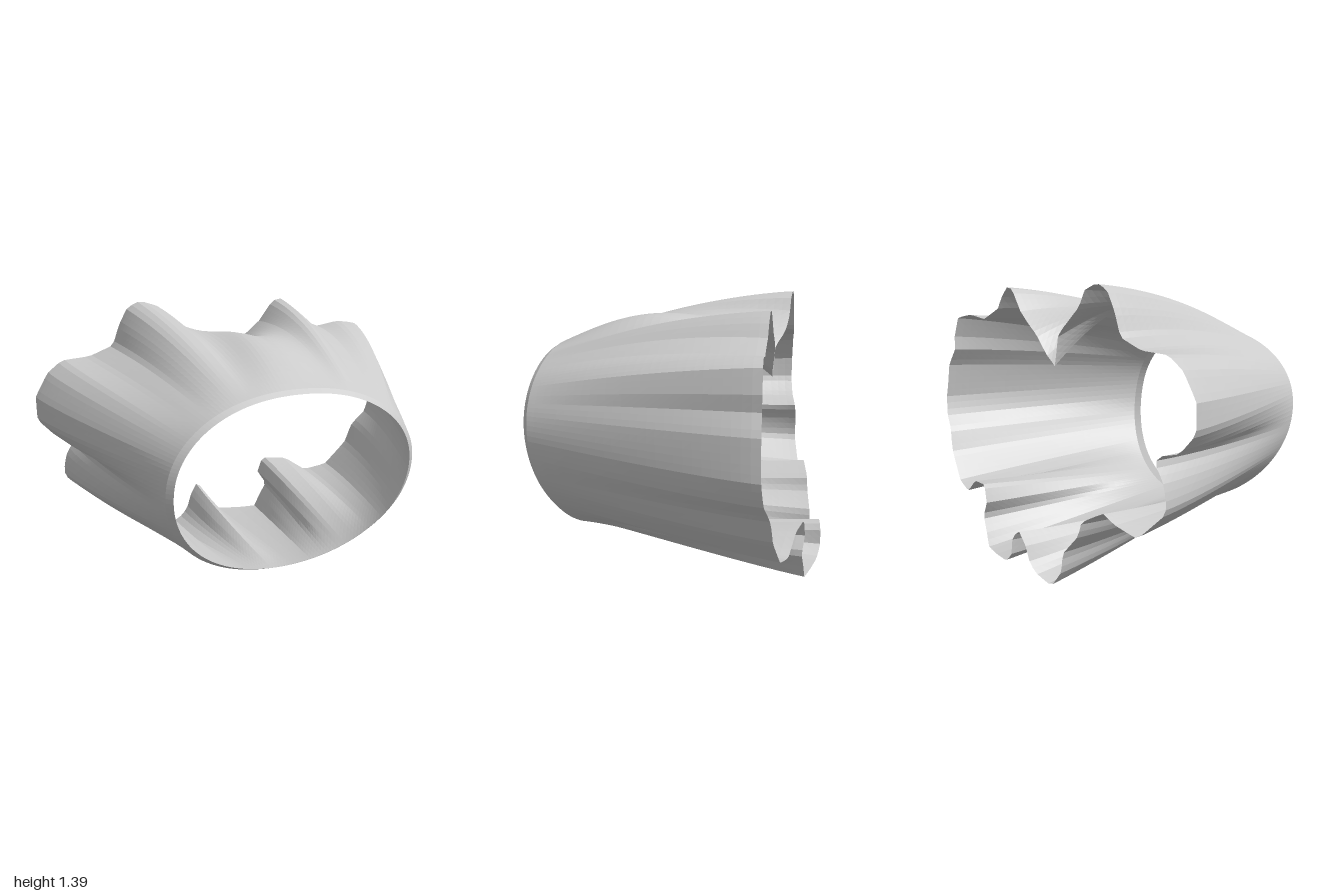
import * as THREE from 'three';

// Hem outline (x, y), clockwise from the top centre pleat
const HEM = [
  0, 1.0, 0.06, 1.05, 0.13, 1.15, 0.26, 1.26, 0.34, 1.37, 0.39, 1.38, 0.45, 1.32, 0.48, 1.27, 0.62, 1.21,
  0.75, 1.23, 0.87, 1.21, 0.91, 1.10, 0.91, 1.03, 0.97, 0.94, 1.0, 0.75, 0.98, 0.65, 0.91, 0.57,
  0.87, 0.45, 0.75, 0.31, 0.62, 0.28, 0.50, 0.36, 0.36, 0.37, 0.33, 0.28, 0.38, 0.20, 0.34, 0.12,
  0.31, 0.05, 0.20, 0.045, 0.07, 0.05, 0.0, 0.10, -0.01, 0.19, -0.05, 0.23, -0.09, 0.17,
  -0.12, 0.08, -0.16, 0.04, -0.25, 0.0, -0.31, 0.08, -0.32, 0.17, -0.41, 0.27, -0.43, 0.34,
  -0.55, 0.40, -0.61, 0.36, -0.73, 0.32, -0.87, 0.45, -0.87, 0.52, -0.85, 0.59, -0.80, 0.66,
  -0.83, 0.69, -0.92, 0.71, -1.0, 0.80, -1.0, 0.93, -0.93, 1.05, -0.85, 1.11, -0.70, 1.12,
  -0.57, 1.17, -0.53, 1.28, -0.48, 1.37, -0.41, 1.40, -0.32, 1.37, -0.27, 1.29, -0.17, 1.22, -0.04, 1.15,
];
const COLS = 180, ROWS = 28, BLUR = 14;

// Average of neighbouring hem points: the hem without its folds
function smoothOutline(points) {
  return points.map((_, i) => {
    const sum = new THREE.Vector3();
    let total = 0;
    for (let k = -BLUR; k <= BLUR; k++) {
      const w = BLUR + 1 - Math.abs(k);
      sum.addScaledVector(points[(i + k + COLS) % COLS], w);
      total += w;
    }
    return sum.divideScalar(total);
  });
}

// The waist leans back at the bottom; the hem trails furthest at bottom centre
const waistZ = (y) => 0.705 - 0.33 * (0.98 - y) ** 2;
function hemZ(x, y) {
  const low = 1 - THREE.MathUtils.smoothstep(y, 0.5, 0.85);
  const upper = -0.47 + 0.03 * Math.sin(3 * x) + 0.04 * Math.exp(-((x / 0.12) ** 2));
  return THREE.MathUtils.lerp(upper, -0.705 + 0.22 * Math.abs(x), low);
}

// Egg-shaped waist opening, squarer on its upper half
function waistPoint(a, inset) {
  const c = Math.cos(a), s = Math.sin(a);
  const height = c > 0 ? 0.435 : 0.52;
  const power = c > 0 ? 0.92 : 1;
  return [
    (0.612 - inset) * Math.sign(s) * Math.abs(s) ** power,
    0.722 + (height - inset * 0.6) * Math.sign(c) * Math.abs(c) ** power,
  ];
}

function buildCloth() {
  const corners = [];
  for (let i = 0; i < HEM.length; i += 2) corners.push(new THREE.Vector3(HEM[i], HEM[i + 1], 0));
  const curve = new THREE.CatmullRomCurve3(corners, true, 'catmullrom', 0.04);
  curve.arcLengthDivisions = 1000;
  const hem = curve.getSpacedPoints(COLS).slice(0, COLS);
  const soft = smoothOutline(hem);

  const positions = [], index = [];
  for (let j = 0; j <= ROWS; j++) {
    // Row 0 is the inner lip of the waist, row 1 its outer edge
    const t = Math.max(0, (j - 1) / (ROWS - 1));
    const flare = 1 - (1 - t) ** 1.3;
    for (let i = 0; i < COLS; i++) {
      const a = Math.atan2(soft[i].x, (soft[i].y - 0.7) / 0.65);
      const [wx, wy] = waistPoint(a, j === 0 ? 0.03 : 0);
      // Top centre swells upward before its pleat drops in near the hem
      const centre = Math.cos(a) > 0 ? Math.exp(-((soft[i].x / 0.2) ** 2)) : 0;
      const fold = t ** (1.15 + 1.7 * centre);
      const crown = (0.045 * Math.max(0, Math.cos(a)) ** 3 + 0.12 * centre) * Math.sin(Math.PI * t);
      const x = wx + (soft[i].x - wx) * flare + (hem[i].x - soft[i].x) * fold;
      const y = wy + (soft[i].y - wy) * flare + (hem[i].y - soft[i].y) * fold + crown;
      const z0 = waistZ(wy) - (j === 0 ? 0 : 0.025);
      positions.push(x, y, z0 + (hemZ(hem[i].x, hem[i].y) - z0) * t);
      if (j < ROWS) {
        const p = j * COLS + i, q = j * COLS + (i + 1) % COLS;
        index.push(p, q, p + COLS, q, q + COLS, p + COLS);
      }
    }
  }
  const geometry = new THREE.BufferGeometry();
  geometry.setAttribute('position', new THREE.Float32BufferAttribute(positions, 3));
  geometry.setIndex(index);
  geometry.computeVertexNormals();
  return geometry;
}

export function createModel() {
  const group = new THREE.Group();
  group.name = 'skirt';
  // Open cloth tube flaring from the waist to a pleated hem
  const cloth = new THREE.Mesh(buildCloth(), new THREE.MeshStandardMaterial({
    color: 0xcccccc, flatShading: true, side: THREE.DoubleSide,
  }));
  cloth.name = 'pleatedCloth';
  group.add(cloth);
  return group;
}
